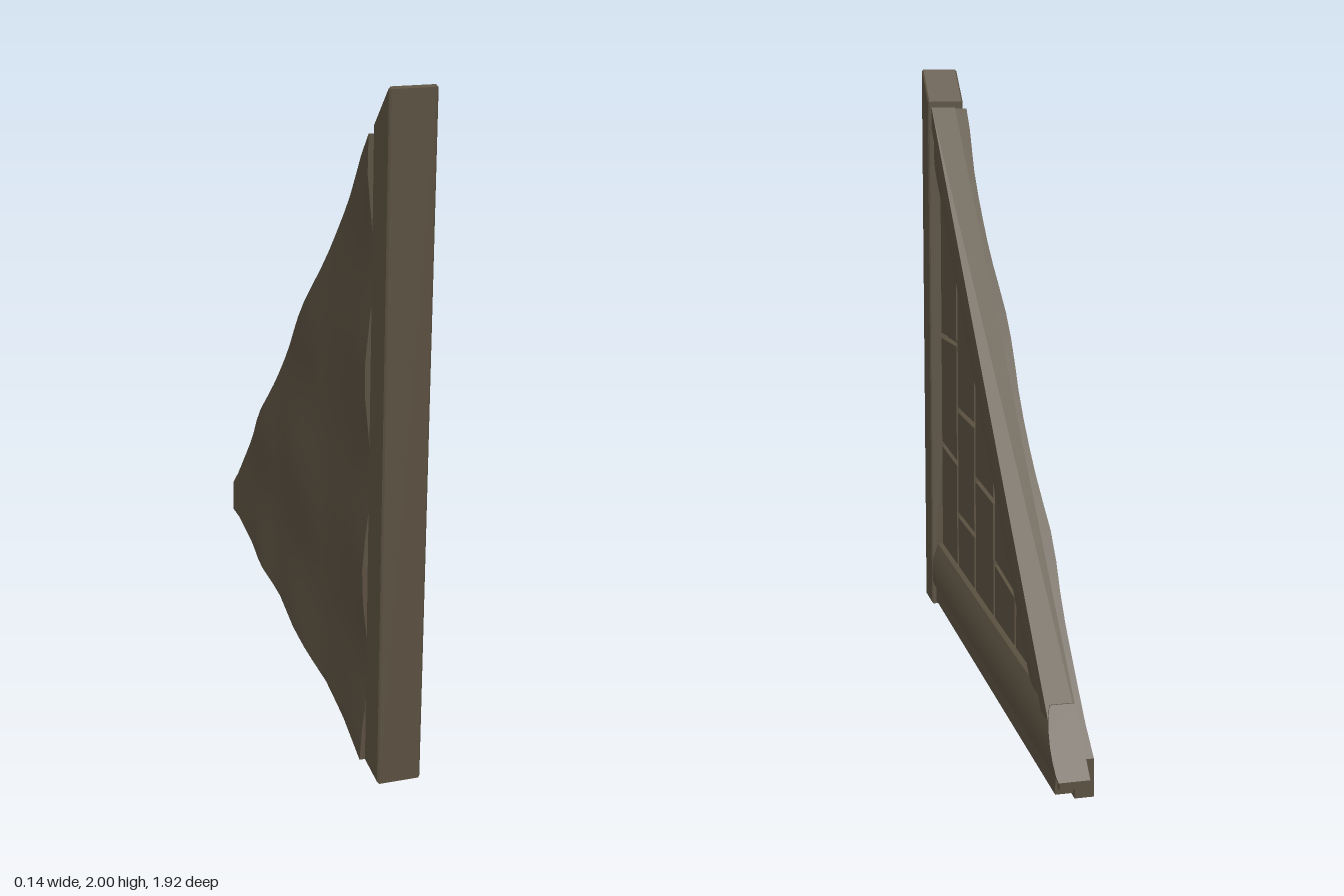
import * as THREE from 'three';
import { toCreasedNormals } from 'three/addons/utils/BufferGeometryUtils.js';

const wood = new THREE.MeshStandardMaterial({ color: 0x5a5040 });
wood.name = 'dark weathered wood';

const POST = 0.835;               // z of the post's inner face
const SLOPE = 1.03;               // roof line: y = z + SLOPE

function add(group, name, geometry) {
  const mesh = new THREE.Mesh(geometry, wood);
  mesh.name = name;
  group.add(mesh);
  return mesh;
}

// Plate with a (z, y) outline, running from x0 to x1
function plate(outline, x0, x1, bevel = 0) {
  const shape = new THREE.Shape(outline.map(([z, y]) => new THREE.Vector2(-z, y)));
  const geo = new THREE.ExtrudeGeometry(shape, {
    depth: x1 - x0 - 2 * bevel, bevelEnabled: bevel > 0,
    bevelSize: bevel, bevelOffset: -bevel, bevelThickness: bevel, bevelSegments: 1,
  });
  geo.translate(0, 0, x0 + bevel);
  return geo.rotateY(Math.PI / 2);
}

// Moulding: a counter-clockwise profile joined between two cut ends
function moulding(profile, start, end) {
  const s = profile.map(start), e = profile.map(end), pos = [];
  const tri = (...pts) => pts.forEach((p) => pos.push(...p));
  profile.forEach((_, i) => {
    const j = (i + 1) % profile.length;
    tri(s[i], e[i], e[j]);
    tri(s[i], e[j], s[j]);
  });
  const flat = profile.map(([a, b]) => new THREE.Vector2(a, b));
  for (const [a, b, c] of THREE.ShapeUtils.triangulateShape(flat, [])) {
    tri(s[a], s[b], s[c]);
    tri(e[a], e[c], e[b]);
  }
  const geo = new THREE.BufferGeometry();
  geo.setAttribute('position', new THREE.Float32BufferAttribute(pos, 3));
  return toCreasedNormals(geo, 0.6);
}

// Uneven rear face of the wall
const WAVE = [[-0.91, -0.056], [-0.83, -0.05], [-0.6, -0.053], [-0.43, -0.066], [-0.2, -0.053],
  [0.05, -0.066], [0.2, -0.064], [0.4, -0.052], [0.6, -0.057], [POST, -0.075]];
function rearX(z, y) {
  let i = 1;
  while (i < WAVE.length - 1 && z > WAVE[i][0]) i++;
  const [z0, x0] = WAVE[i - 1], [z1, x1] = WAVE[i];
  const x = x0 + (x1 - x0) * (z - z0) / (z1 - z0);
  return -0.05 + (x + 0.05) * (0.55 + 0.45 * Math.cos(y * Math.PI * 2 / 0.6));
}

function wallGeometry() {
  const geo = new THREE.BoxGeometry(1, 1, 1, 1, 18, 24);
  const p = geo.attributes.position;
  for (let i = 0; i < p.count; i++) {
    const z = -0.91 + (p.getZ(i) + 0.5) * (POST + 0.91);
    const y = 0.002 + (p.getY(i) + 0.5) * (z + SLOPE - 0.007);
    p.setXYZ(i, p.getX(i) < 0 ? rearX(z, y) : 0, y, z);
  }
  return toCreasedNormals(geo, 0.6);
}

export function createModel() {
  const group = new THREE.Group();
  group.name = 'gableEndPanel';

  // Upright post with a sloped top
  add(group, 'post', plate([[0.96, 0], [0.96, 1.995], [0.95, 2], [POST, 1.885], [POST, 0]], -0.06, 0.068, 0.005));

  // Backing wall
  add(group, 'backWall', wallGeometry());

  // Staggered shingles: each column lists its gaps as [left y, right y]
  const shingles = new THREE.Group();
  shingles.name = 'shingles';
  group.add(shingles);
  const columns = [
    [POST, 0.565, [[0.615, 0.602], [1.025, 1.035]]],
    [0.54, 0.275, [[0.417, 0.417], [0.802, 0.802]]],
    [0.25, -0.015, [[0.62, 0.612]]],
    [-0.04, -0.305, [[0.412, 0.388]]],
    [-0.33, -0.6, []],
  ];
  const inner = SLOPE - 0.22, gap = 0.02;
  for (const [za, zb, cuts] of columns) {
    const tops = [...cuts, [za + inner, zb + inner]];
    let low = [0.12, 0.12];
    for (const top of tops) {
      add(shingles, 'shingle', plate([[za, low[0]], [za, top[0]], [zb, top[1]], [zb, low[1]]], -0.005, 0.025));
      low = [top[0] + gap, top[1] + gap];
    }
  }

  // Sloping rafter, flat outside and rounded toward the shingles
  const rafter = [[-0.03, 0], [-0.03, -0.3], [0.0, -0.315]];
  for (let i = 0; i <= 8; i++) {
    const a = (i / 8) * Math.PI / 2;
    rafter.push([0.002 + 0.046 * Math.sin(a), -0.165 - 0.15 * Math.cos(a)]);
  }
  rafter.push([0.048, -0.085], [0.056, -0.08], [0.056, 0]);
  add(group, 'rafter', moulding(rafter,
    ([x, d]) => [x, POST + SLOPE + d, POST],
    ([x, d]) => [x, 0.12, 0.12 - SLOPE - d]));

  // Rounded bottom rail, cut along the roof line
  const rail = [[-0.03, 0.235], [-0.03, 0.075], [0.06, 0.075], [0.064, 0.09],
    [0.066, 0.12], [0.065, 0.15], [0.061, 0.18], [0.054, 0.208], [0.044, 0.235]];
  add(group, 'bottomRail', moulding(rail,
    ([x, y]) => [x, y, POST],
    ([x, y]) => [x, y, y - SLOPE - 0.004]));

  // Base sill under the rail
  add(group, 'baseSill', plate([[POST, 0.012], [POST, 0.08], [-0.895, 0.08], [-0.895, 0.012]], -0.02, 0.052));
  add(group, 'sillEnd', plate([[-0.89, 0.03], [-0.89, 0.08], [-0.912, 0.08], [-0.912, 0.03]], -0.02, 0.045));

  return group;
}
